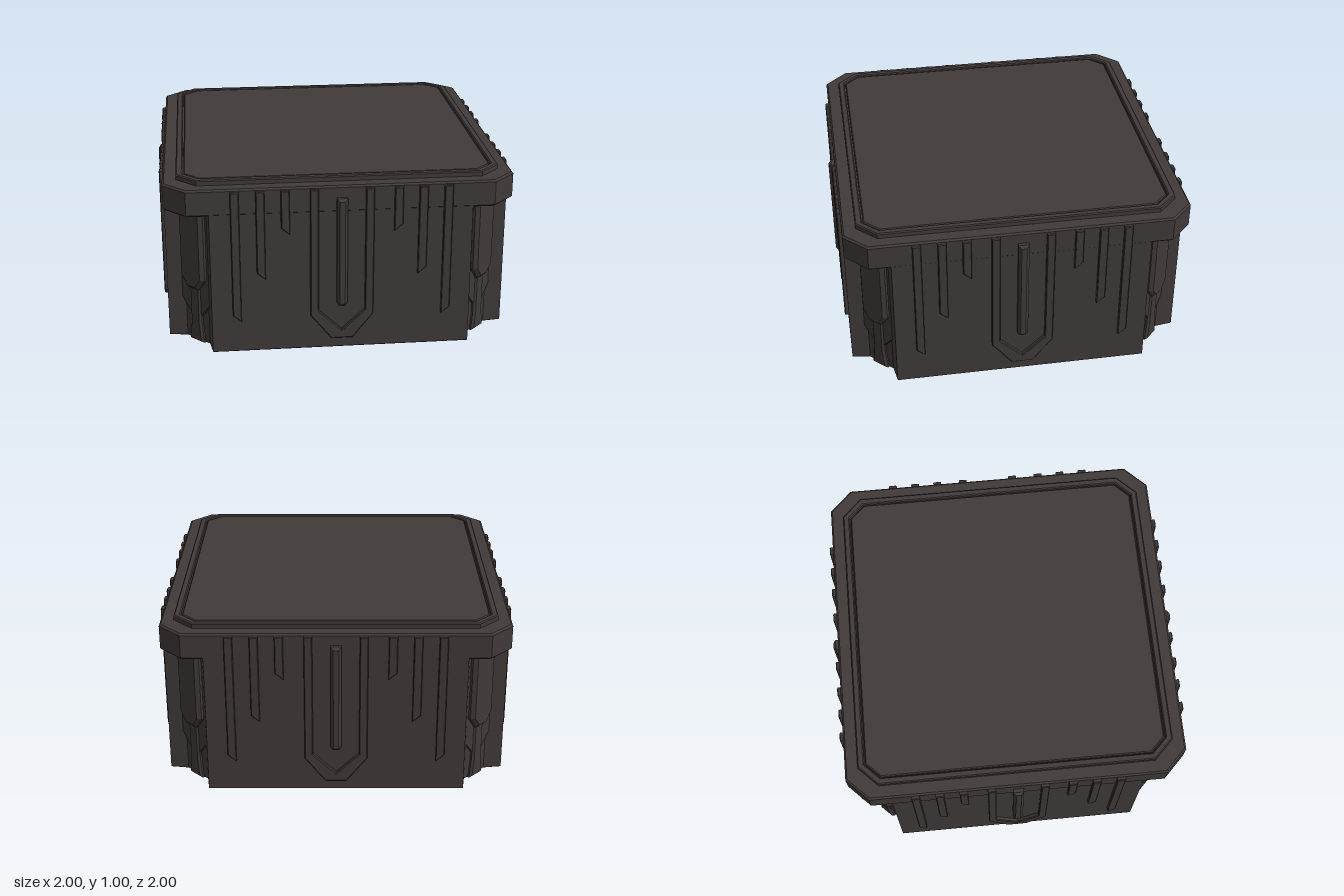
import * as THREE from 'three';

const stone = new THREE.MeshStandardMaterial({ color: 0x403a39 });
stone.name = 'dark stone';

const toShape = (pts) => new THREE.Shape(pts.map(([x, y]) => new THREE.Vector2(x, y)));

// Square outline with cut corners
const octagon = (h, c) => [
  [h, h - c], [h - c, h], [c - h, h], [-h, h - c],
  [-h, c - h], [c - h, -h], [h - c, -h], [h, c - h],
];

function extrude(name, shape, depth, bevel = 0) {
  const geo = new THREE.ExtrudeGeometry(shape, {
    depth: depth - 2 * bevel, bevelEnabled: bevel > 0, bevelSegments: 1,
    bevelSize: bevel, bevelThickness: bevel, bevelOffset: -bevel,
  });
  geo.translate(0, 0, bevel);
  const mesh = new THREE.Mesh(geo, stone);
  mesh.name = name;
  return mesh;
}

// Horizontal slab between two heights
function slab(name, shape, y0, y1, bevel) {
  const mesh = extrude(name, shape, y1 - y0, bevel);
  mesh.geometry.rotateX(-Math.PI / 2);
  mesh.position.y = y0;
  return mesh;
}

// Raised relief on one side wall
function createSideRelief() {
  const side = new THREE.Group();
  side.name = 'sideRelief';
  const add = (name, pts, z1, bevel = 0.005) => {
    const mesh = extrude(name, toShape(pts), z1 - 0.94, bevel);
    mesh.position.z = 0.94;
    side.add(mesh);
  };
  add('pointedLoop', [
    [-0.175, 0.955], [-0.175, 0.21], [-0.06, 0.065], [0.06, 0.065], [0.175, 0.21], [0.175, 0.955],
    [0.128, 0.955], [0.128, 0.235], [0, 0.115], [-0.128, 0.235], [-0.128, 0.955],
  ], 0.985);
  add('centreBar', [
    [-0.03, 0.9], [-0.03, 0.285], [-0.015, 0.265], [0.015, 0.265], [0.03, 0.285], [0.03, 0.9],
  ], 1.0, 0.015);
  // Hanging strips, each cut at a slant with the tip toward the middle
  for (const [x, bottom] of [[0.285, 0.7], [0.42, 0.44], [0.557, 0.19]]) {
    for (const s of [-1, 1]) {
      add('hangingStrip', [
        [s * x, 0.955], [s * x, bottom], [s * (x + 0.048), bottom + 0.04], [s * (x + 0.048), 0.955],
      ], 0.985);
    }
  }
  return side;
}

// Plate, pillar and stem inside a corner recess, built facing +z
function createCornerRelief() {
  const corner = new THREE.Group();
  corner.name = 'cornerRelief';
  const add = (name, pts, z1, bevel) => {
    const mesh = extrude(name, toShape(pts), z1 - 1.08, bevel);
    mesh.position.z = 1.08;
    corner.add(mesh);
  };
  add('recessPlate', [
    [-0.14, 0.83], [-0.14, 0.28], [-0.03, 0.15], [0.03, 0.15], [0.14, 0.28], [0.14, 0.83],
  ], 1.14, 0.005);
  add('pillar', [
    [-0.09, 0.83], [-0.09, 0.4], [-0.04, 0.33], [0.04, 0.33], [0.09, 0.4], [0.09, 0.83],
  ], 1.175, 0.02);
  add('stem', [[-0.04, 0.36], [-0.04, 0.12], [-0.055, 0], [0.055, 0], [0.04, 0.12], [0.04, 0.36]], 1.15, 0.012);
  return corner;
}

export function createModel() {
  const model = new THREE.Group();
  model.name = 'stonePedestal';

  // Body with a scooped recess at every corner
  const outline = [];
  const scoop = [[0.963, 0.72], [0.86, 0.735], [0.735, 0.86], [0.72, 0.963]];
  for (let i = 0; i < 4; i++) {
    const a = (i * Math.PI) / 2, c = Math.cos(a), s = Math.sin(a);
    for (const [x, y] of scoop) outline.push([x * c - y * s, x * s + y * c]);
  }
  model.add(slab('body', toShape(outline), 0, 0.83, 0.004));

  // Rim, lid border and top panel
  model.add(slab('rim', toShape(octagon(0.965, 0.125)), 0.815, 0.967, 0.01));
  const border = toShape(octagon(0.89, 0.11));
  border.holes.push(toShape(octagon(0.852, 0.085)));
  model.add(slab('lidBorder', border, 0.95, 0.997, 0.006));
  model.add(slab('topPanel', toShape(octagon(0.846, 0.083)), 0.95, 0.993, 0.006));

  for (let i = 0; i < 4; i++) {
    const side = createSideRelief();
    side.rotation.y = (i * Math.PI) / 2;
    const corner = createCornerRelief();
    corner.rotation.y = Math.PI / 4 + (i * Math.PI) / 2;
    model.add(side, corner);
  }
  return model;
}
